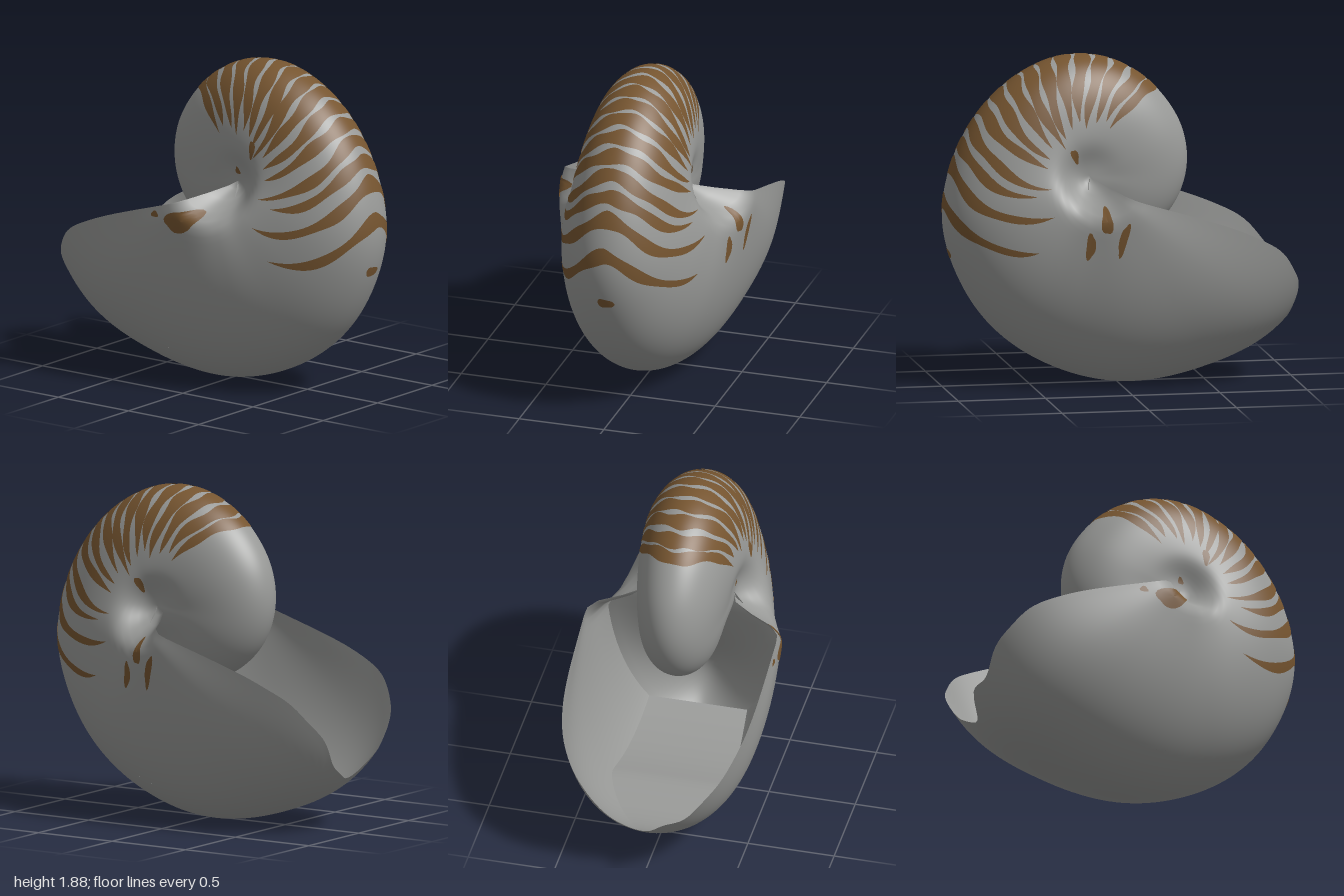
import * as THREE from 'three';

const RAD = Math.PI / 180;
const CX = 0.2, CY = 1.22;               // coiling axis
const FIRST = -160, LAST = 300;          // angle along the coil, aperture to inner whorl

// Outer radius and half width of the whorl, every 20 degrees
const spline = (a) => new THREE.SplineCurve(a.map((y, i) => new THREE.Vector2(i, y)));
const radii = spline([1.47, 1.445, 1.33, 1.235, 1.125, 1.025, 0.925, 0.845, 0.76, 0.7, 0.667, 0.656,
  0.658, 0.65, 0.633, 0.62, 0.615, 0.6, 0.57, 0.53, 0.49, 0.45, 0.42, 0.4]);
const widths = spline([0.555, 0.565, 0.555, 0.535, 0.5, 0.46, 0.43, 0.4, 0.37, 0.345, 0.325, 0.31,
  0.3, 0.29, 0.28, 0.27, 0.26, 0.25, 0.245, 0.235, 0.22, 0.21, 0.2, 0.19]);
const at = (curve, deg) =>
  curve.getPoint(THREE.MathUtils.clamp((deg - FIRST) / (LAST - FIRST), 0, 1)).y;

// Point on the shell: deg runs along the coil, v from +1 (front hub) over 0 (keel) to -1 (back hub)
function shellPoint(deg, v, lift = 0) {
  const t = 1 - v * v;
  const r = t * (at(radii, deg) + lift);
  const power = 2.5 + 3 * Math.max(0, (-80 - deg) / 80) ** 2   // boxier near the aperture
    + 0.5 * THREE.MathUtils.smoothstep(deg, 0, 60);
  const side = (at(widths, deg) + lift) * Math.sqrt(Math.max(0, 1 - t ** power));
  const dip = Math.exp(-((r / 0.15) ** 3));                   // navel at the hub
  const z = side * (1 - dip) + (0.25 + lift) * dip;
  return [CX + r * Math.cos(deg * RAD), CY + r * Math.sin(deg * RAD), Math.sign(v) * z];
}

// Smooth surface from a rule over a grid of rows and columns
function gridGeometry(rows, cols, rule) {
  const pos = [], index = [];
  for (let i = 0; i <= rows; i++) {
    for (let j = 0; j <= cols; j++) pos.push(...rule(i / rows, j / cols));
  }
  for (let i = 0; i < rows; i++) {
    for (let j = 0; j < cols; j++) {
      const a = i * (cols + 1) + j, c = a + cols + 1;
      index.push(a, a + 1, c, a + 1, c + 1, c);
    }
  }
  const g = new THREE.BufferGeometry();
  g.setAttribute('position', new THREE.Float32BufferAttribute(pos, 3));
  g.setIndex(index);
  g.computeVertexNormals();
  return g;
}

// Slightly ragged edge of the opening, with a small tongue beside the keel
function lipAngle(v) {
  const t = 1 - v * v;
  const ragged = (0.5 * Math.sin(13 * v + 2) + 0.5 * Math.sin(31 * v + 1)) * t ** 4;
  const tongue = 3 * Math.exp(-(((v - 0.1) / 0.08) ** 2));
  return -160.5 + 19 * t ** 8 + 16 * (1 - t) ** 6 + ragged - tongue;
}

// Band over the keel, swept back and tapering on both flanks
function bandGeometry(keel, sweep, tEnd, width, seed) {
  const vEnd = Math.sqrt(1 - tEnd);
  return gridGeometry(4, 70, (a, b) => {
    const v = vEnd * (1 - 2 * b), m = Math.abs(v), t = 1 - v * v;
    const wave = 1.6 * m * Math.sin(11 * v + seed * 2.3);
    const centre = keel - sweep * m ** 1.6 + wave;
    const taper = 1 - (m / vEnd) ** 6;
    const ripple = 1 + 0.18 * Math.sin(17 * v + seed * 1.7);
    const half = Math.max(0.012, width - 0.02 * m) * ripple * taper / (at(radii, centre) * t) / RAD;
    return shellPoint(centre + half * (2 * a - 1), v, 0.003);
  });
}

// Irregular oval spot laid on a flank
function spotGeometry(x, y, rx, ry, tilt, side) {
  return gridGeometry(24, 4, (a, b) => {
    const ang = a * 2 * Math.PI * side;
    const k = b * (1 + 0.15 * Math.sin(3 * ang + x * 20));
    const ex = rx * k * Math.cos(ang), ey = ry * k * Math.sin(ang);
    const dx = x + ex * Math.cos(tilt) - ey * Math.sin(tilt) - CX;
    const dy = y + ex * Math.sin(tilt) + ey * Math.cos(tilt) - CY;
    let deg = Math.atan2(dy, dx) / RAD;
    if (deg < FIRST) deg += 360;
    const t = Math.hypot(dx, dy) / at(radii, deg);
    return shellPoint(deg, side * Math.sqrt(Math.max(0, 1 - t)), 0.006);
  });
}

export function createModel() {
  const group = new THREE.Group();
  group.name = 'spiralShell';
  const grey = new THREE.MeshStandardMaterial({ color: 0x999a98, side: THREE.DoubleSide });
  grey.name = 'shellGrey';
  const brown = new THREE.MeshStandardMaterial({ color: 0x765530, side: THREE.DoubleSide });
  brown.name = 'stripeBrown';
  const add = (name, geometry, material) => {
    const mesh = new THREE.Mesh(geometry, material);
    mesh.name = name;
    group.add(mesh);
  };

  // Coiled wall, from the lip of the opening round to the hidden inner whorl
  add('coiledShell', gridGeometry(220, 96, (a, b) => {
    const v = 1 - 2 * b, start = lipAngle(v);
    return shellPoint(start + (LAST - start) * a, v);
  }), grey);

  // Flat floor of the living chamber, widening inwards from the lip
  add('chamberFloor', gridGeometry(24, 8, (a, b) => {
    const [x, y, z] = shellPoint(-137 + 57 * a, 0.05 + 0.33 * THREE.MathUtils.smoothstep(a, 0, 0.4));
    return [x, y, z * (1 - 2 * b)];
  }), grey);

  // Concave wall closing the living chamber
  add('chamberWall', gridGeometry(24, 24, (a, b) => {
    const bow = 16 * Math.sin(Math.PI * a) * Math.sin(Math.PI * b);
    const [x, y, z] = shellPoint(-80 + bow, a);
    return [x, y, z * (1 - 2 * b)];
  }), grey);

  // Stripes: keel angle, sweep, inner end, half width
  [
    [-11, 72, 0.52, 0.044], [4, 61, 0.33, 0.044], [14, 46, 0.4, 0.041], [24, 46, 0.3, 0.042],
    [33, 28, 0.36, 0.044], [43, 26, 0.38, 0.044], [53, 22, 0.42, 0.045], [62, 20, 0.33, 0.043],
    [71, 20, 0.4, 0.044], [80, 18, 0.45, 0.044], [90, 20, 0.48, 0.045], [100, 22, 0.42, 0.045],
    [110, 24, 0.47, 0.045], [121, 25, 0.5, 0.045], [130, 27, 0.45, 0.04],
  ].forEach(([keel, sweep, end, width], i) =>
    add('stripe' + (i + 1), bandGeometry(keel, sweep, end, width, i), brown));
  add('keelSpot', bandGeometry(-31, 0, 0.994, 0.027, 0), brown);

  // Spots on the flanks: x, y, radii, tilt, side
  [
    [0.03, 1.02, 0.11, 0.06, 0.3, 1], [-0.15, 1.035, 0.025, 0.018, 0, 1],
    [0.34, 1.43, 0.02, 0.05, 0, 1], [0.205, 1.28, 0.015, 0.022, 0.4, 1],
    [0.29, 1.34, 0.02, 0.045, -0.4, -1], [0.24, 0.86, 0.025, 0.075, 0.1, -1],
    [0.06, 0.9, 0.022, 0.1, 0.25, -1], [0.15, 1.0, 0.03, 0.07, 0, -1],
  ].forEach(([x, y, rx, ry, tilt, side], i) =>
    add('spot' + (i + 1), spotGeometry(x, y, rx, ry, tilt, side), brown));

  return group;
}
